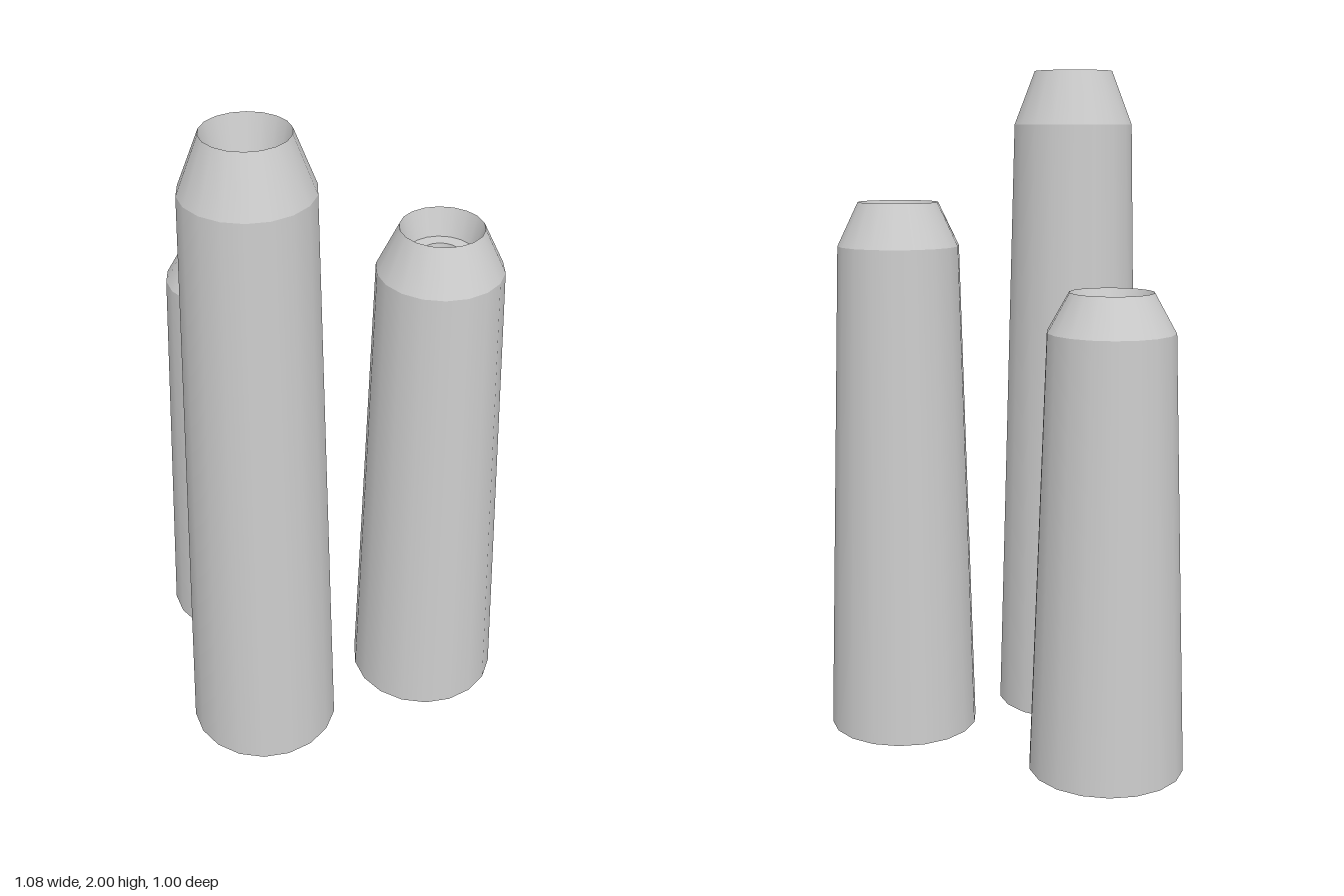
import * as THREE from 'three';

const SIDES = 18;

export function createModel() {
  const model = new THREE.Group();
  model.name = 'chimneyCluster';

  const grey = new THREE.MeshStandardMaterial({ color: 0xcccccc });
  grey.name = 'light grey';

  // One ring of faces between two [radius, height] points; separate rings keep edges crisp
  function ring(name, from, to) {
    const points = [from, to].map(([r, y]) => new THREE.Vector2(r, y));
    const mesh = new THREE.Mesh(new THREE.LatheGeometry(points, SIDES, 0.038), grey);
    mesh.name = name;
    return mesh;
  }

  // Tapered stack with a conical shoulder and a stepped mouth sunk into the top
  function chimney(name, x, z, height) {
    const stack = new THREE.Group();
    stack.name = name;
    stack.position.set(x, 0, z);

    const profile = [
      ['base', 0, 0],
      ['body', 0.2255, 0],
      ['shoulder', 0.181, 0.92],
      ['mouthWall', 0.119, 1],
      ['mouthLedge', 0.095, 0.95],
      ['pitWall', 0.055, 0.95],
      ['pitFloor', 0.045, 0.9],
      ['', 0, 0.9],
    ];
    for (let i = 0; i < profile.length - 1; i++) {
      const [part, r0, y0] = profile[i];
      const [, r1, y1] = profile[i + 1];
      stack.add(ring(part, [r0, y0 * height], [r1, y1 * height]));
    }
    return stack;
  }

  model.add(
    chimney('tallChimney', -0.198, 0.274, 2),
    chimney('middleChimney', 0.314, 0.037, 1.615),
    chimney('shortChimney', -0.316, -0.277, 1.385),
  );
  return model;
}
